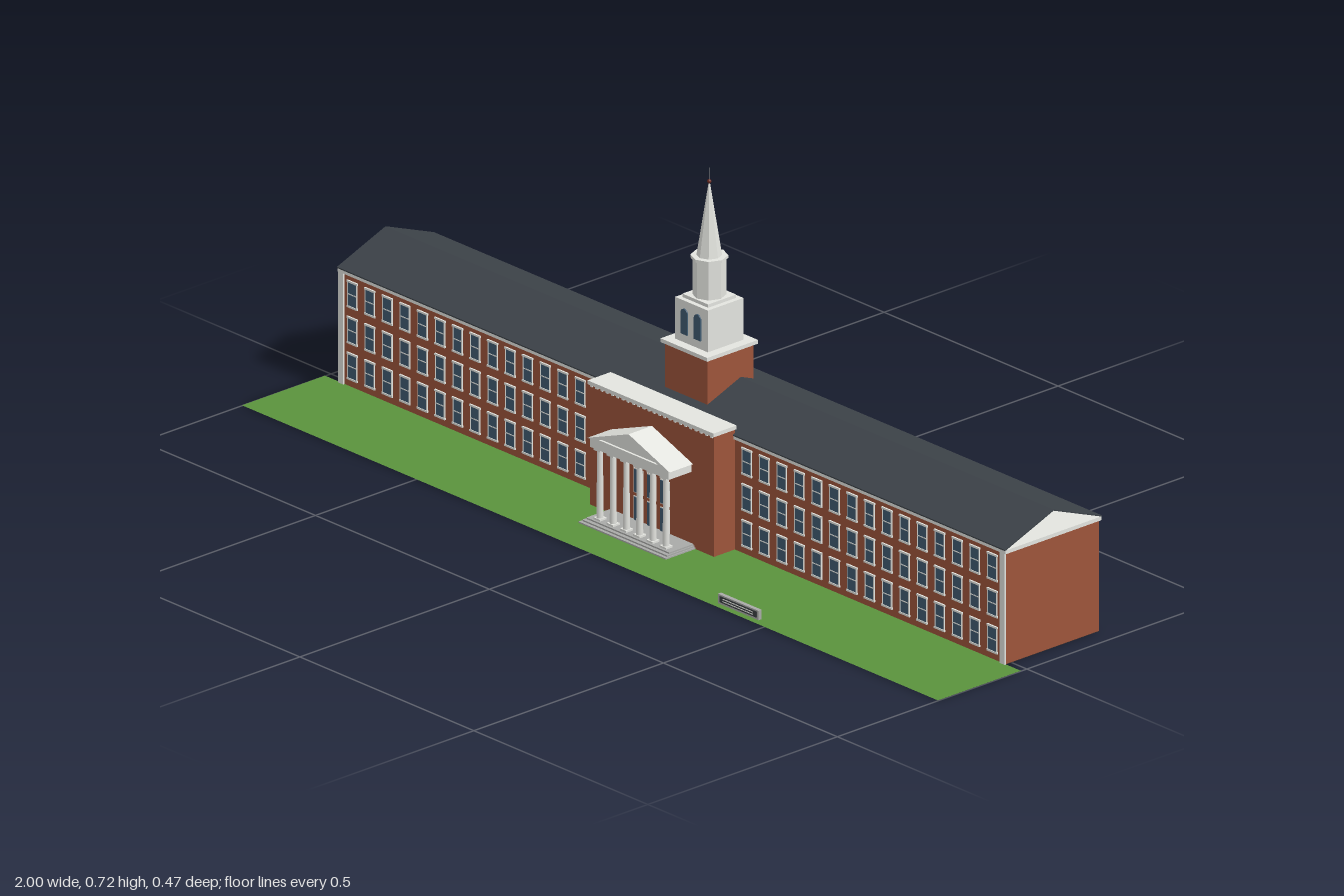
import * as THREE from 'three';
import { mergeGeometries } from 'three/addons/utils/BufferGeometryUtils.js';

const mat = (name, color) => {
  const m = new THREE.MeshStandardMaterial({ color });
  m.name = name;
  return m;
};

export function createModel() {
  const brick = mat('brick', 0x9d543b);
  const stone = mat('pale stone', 0xe3e4df);
  const slate = mat('roof slate', 0x3c4248);
  const grass = mat('grass', 0x5a923c);
  const glass = mat('window glass', 0x3f5a70);
  const step = mat('step stone', 0xa9aaa8);
  const dark = mat('dark panel', 0x3a3f42);
  const copper = mat('finial', 0x6a2a22);
  const soil = mat('shaded soil', 0x304030);
  const footing = mat('dark footing', 0x382c2a);

  const model = new THREE.Group();
  model.name = 'towerHall';
  const add = (name, geometry, material) => {
    const mesh = new THREE.Mesh(geometry, material);
    mesh.name = name;
    model.add(mesh);
    return mesh;
  };
  // Box given by its limits on each axis
  const box = (x0, x1, y0, y1, z0, z1) =>
    new THREE.BoxGeometry(x1 - x0, y1 - y0, z1 - z0)
      .translate((x0 + x1) / 2, (y0 + y1) / 2, (z0 + z1) / 2);
  const wide = (hx, y0, y1, z0, z1) => box(-hx, hx, y0, y1, z0, z1);

  // Flat lawn with its underside, and the long main block on a dark footing
  const lawn = (turn, y) => new THREE.PlaneGeometry(2, 0.219).rotateX(turn).translate(0, y, 0.1255);
  add('lawn', lawn(-Math.PI / 2, 0.001), grass);
  add('lawnUnderside', lawn(Math.PI / 2, 0.0005), soil);
  add('mainFooting', wide(0.956, 0, 0.001, -0.23, 0.016), footing);
  add('mainBlock', wide(0.956, 0.001, 0.235, -0.23, 0.016), brick);
  add('mainCornice', wide(0.96, 0.235, 0.243, -0.234, 0.02), stone);
  for (const s of [-1, 1]) {
    add('cornerStrip', box(s * 0.9505 - 0.007, s * 0.9505 + 0.007, 0.001, 0.235, 0.0155, 0.02), stone);
  }

  // Thin gabled roof, open at both ends
  const roofShape = new THREE.Shape([
    [-0.128, 0.242], [0, 0.291], [0.128, 0.242], [0.128, 0.2445], [0, 0.2935], [-0.128, 0.2445],
  ].map(([x, y]) => new THREE.Vector2(x, y)));
  const roof = new THREE.ExtrudeGeometry(roofShape, { depth: 1.92, bevelEnabled: false });
  roof.translate(0, 0, -0.96).rotateY(Math.PI / 2).translate(0, 0, -0.107);
  add('roof', roof, slate);

  // Wing windows: tall panes with pale lintel, sill and meeting bar
  const trims = [], panes = [];
  for (const s of [-1, 1]) {
    for (let i = 0; i < 15; i++) {
      const x = s * (0.214 + i * 0.0504);
      for (const y of [0.044, 0.12, 0.196]) {
        panes.push(box(x - 0.012, x + 0.012, y - 0.025, y + 0.025, 0.016, 0.018));
        for (const t of [-1, 1]) {
          trims.push(box(x - 0.015, x + 0.015, y + t * 0.0265 - 0.002, y + t * 0.0265 + 0.002, 0.016, 0.0195));
          trims.push(box(x + t * 0.0127 - 0.001, x + t * 0.0127 + 0.001, y - 0.025, y + 0.025, 0.016, 0.0187));
        }
        trims.push(box(x - 0.012, x + 0.012, y - 0.001, y + 0.001, 0.018, 0.0187));
      }
    }
  }
  add('windowTrims', mergeGeometries(trims), stone);
  add('windowPanes', mergeGeometries(panes), glass);

  // Central projecting block with a dentilled cornice
  add('centreBlock', wide(0.178, 0.001, 0.254, 0.015, 0.071), brick);
  add('centreCornice', wide(0.181, 0.255, 0.263, 0.014, 0.075), stone);
  const dentils = [];
  for (let i = 0; i < 24; i++) {
    const x = -0.1725 + i * 0.015;
    dentils.push(box(x - 0.003, x + 0.003, 0.251, 0.255, 0.071, 0.0735));
  }
  add('centreDentils', mergeGeometries(dentils), stone);

  // Entrance doors and upper windows between the middle columns
  for (const x of [-0.038, 0, 0.038]) {
    add('doorFrame', box(x - 0.0135, x + 0.0135, 0.01, 0.06, 0.071, 0.0725), stone);
    add('doorGlass', box(x - 0.0115, x + 0.0115, 0.01, 0.058, 0.072, 0.0737), glass);
    add('upperFrame', box(x - 0.0135, x + 0.0135, 0.067, 0.119, 0.071, 0.0725), stone);
    add('upperGlass', box(x - 0.0115, x + 0.0115, 0.069, 0.117, 0.072, 0.0737), glass);
  }

  // Portico: steps, columns, entablature and pediment
  [[0.125, 0.15], [0.122, 0.143], [0.119, 0.135]].forEach(([hx, z], i) => {
    add('porticoStep', wide(hx, 0.001 + i * 0.003, 0.004 + i * 0.003, 0.07, z), step);
  });
  for (let i = 0; i < 6; i++) {
    const x = -0.095 + i * 0.038;
    add('columnShaft', new THREE.CylinderGeometry(0.0058, 0.007, 0.146, 16).translate(x, 0.085, 0.121), stone);
    for (const y of [0.012, 0.158]) {
      add('columnBlock', box(x - 0.009, x + 0.009, y - 0.002, y + 0.002, 0.112, 0.13), stone);
    }
  }
  add('entablature', wide(0.113, 0.16, 0.178, 0.071, 0.131), stone);
  const gable = (hx, y0, y1) => new THREE.Shape([[-hx, y0], [hx, y0], [0, y1]].map(([x, y]) => new THREE.Vector2(x, y)));
  const extrudeFrom = (shape, z0, z1) =>
    new THREE.ExtrudeGeometry(shape, { depth: z1 - z0, bevelEnabled: false }).translate(0, 0, z0);
  add('pediment', extrudeFrom(gable(0.112, 0.178, 0.216), 0.071, 0.128), stone);
  const rake = gable(0.118, 0.178, 0.222);
  rake.holes.push(gable(0.085, 0.183, 0.2145));
  add('pedimentRake', extrudeFrom(rake, 0.071, 0.133), stone);

  // Tower: brick base, belfry, octagonal lantern and spire
  const tz = -0.08;
  const square = (h, y0, y1) => wide(h, y0, y1, tz - h, tz + h);
  const octagon = (r0, r1, y0, y1) => {
    const g = new THREE.CylinderGeometry(r1, r0, y1 - y0, 8).toNonIndexed().translate(0, (y0 + y1) / 2, tz);
    g.computeVertexNormals();
    return g;
  };
  add('towerBase', square(0.061, 0.243, 0.355), brick);
  add('towerCornice', square(0.067, 0.354, 0.362), stone);
  add('belfry', square(0.047, 0.362, 0.45), stone);
  add('belfryCornice', square(0.037, 0.45, 0.457), stone);
  add('lantern', octagon(0.033, 0.033, 0.457, 0.534), stone);
  add('lanternCornice', octagon(0.037, 0.037, 0.534, 0.54), stone);
  add('spire', octagon(0.025, 0.001, 0.54, 0.695), stone);
  add('finialBall', new THREE.SphereGeometry(0.0042, 16, 10).translate(0, 0.695, tz), copper);
  add('finialRod', new THREE.CylinderGeometry(0.0006, 0.0006, 0.028, 6).translate(0, 0.71, tz), step);

  // Arched belfry windows on the front
  for (const x of [-0.019, 0.019]) {
    const arch = new THREE.Shape();
    arch.moveTo(-0.0095, 0.38).lineTo(0.0095, 0.38).lineTo(0.0095, 0.424);
    arch.absarc(0, 0.424, 0.0095, 0, Math.PI, false);
    arch.closePath();
    add('belfryWindow', new THREE.ExtrudeGeometry(arch, { depth: 0.003, bevelEnabled: false, curveSegments: 10 })
      .translate(x, 0, tz + 0.047), glass);
  }

  // Lawn sign: stone slab with a dark panel and pale strips
  add('signBody', box(0.353, 0.47, 0.001, 0.021, 0.213, 0.2215), step);
  add('signPanel', box(0.358, 0.465, 0.005, 0.018, 0.2215, 0.2222), dark);
  for (const y of [0.009, 0.014]) {
    add('signStrip', box(0.368, 0.455, y - 0.001, y + 0.001, 0.2222, 0.2227), stone);
  }

  return model;
}
